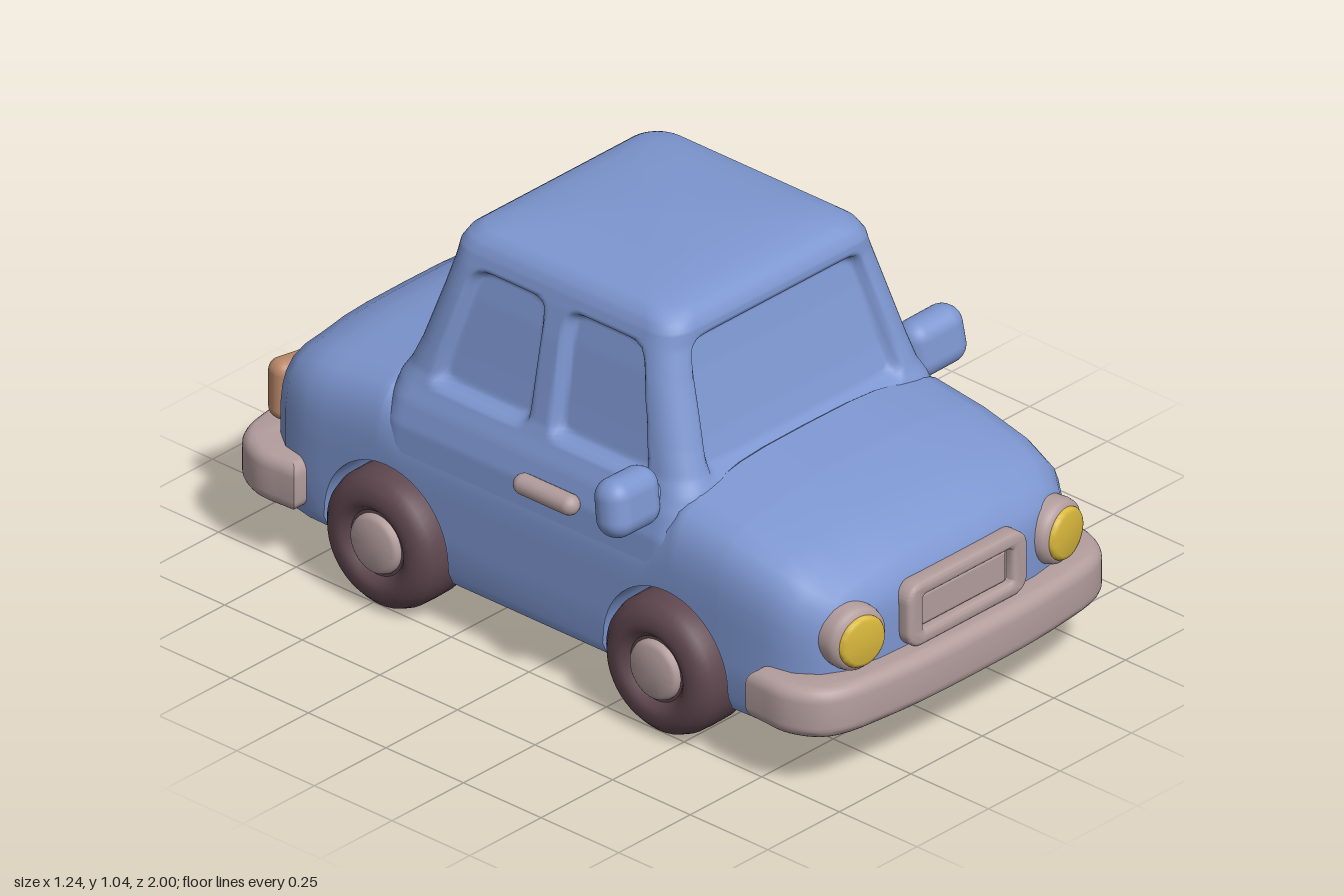
import * as THREE from 'three';
import { toCreasedNormals } from 'three/addons/utils/BufferGeometryUtils.js';
import { RoundedBoxGeometry } from 'three/addons/geometries/RoundedBoxGeometry.js';

const material = (name, color) => {
  const m = new THREE.MeshStandardMaterial({ color });
  m.name = name;
  return m;
};

// Skin a list of closed rings of [x, y, z] points.
function loft(rings) {
  const n = rings[0].length, index = [];
  for (let k = 0; k < rings.length - 1; k++) {
    for (let i = 0; i < n; i++) {
      const j = (i + 1) % n, a = k * n + i, b = k * n + j;
      index.push(a, b, b + n, a, b + n, a + n);
    }
  }
  const g = new THREE.BufferGeometry();
  g.setAttribute('position', new THREE.Float32BufferAttribute(rings.flat(2), 3));
  g.setIndex(index);
  g.computeVertexNormals();
  return g;
}

// Linear interpolation in a table whose first column is ascending.
function sample(table, t) {
  let i = 0;
  while (i < table.length - 2 && t > table[i + 1][0]) i++;
  const a = table[i], b = table[i + 1];
  const f = THREE.MathUtils.clamp((t - a[0]) / (b[0] - a[0]), 0, 1);
  return a.map((v, c) => v + (b[c] - v) * f);
}

const WHEELS = [0.43, -0.47], WHEEL_R = 0.18, ARCH_R = 0.2;

// Lower body: cross-sections along z, lifted over the wheels.
function bodyGeometry() {
  const stations = [ // z, half width, top, bottom
    [-0.925, 0, 0.32, 0.32], [-0.922, 0.12, 0.4, 0.24], [-0.915, 0.27, 0.45, 0.18], [-0.895, 0.38, 0.49, 0.14],
    [-0.865, 0.43, 0.525, 0.125], [-0.81, 0.472, 0.56, 0.12], [-0.73, 0.488, 0.588, 0.118], [-0.5, 0.49, 0.622, 0.115],
    [-0.42, 0.49, 0.58, 0.115], [0.36, 0.49, 0.58, 0.115], [0.44, 0.49, 0.638, 0.115], [0.6, 0.49, 0.615, 0.115],
    [0.74, 0.485, 0.582, 0.118], [0.82, 0.468, 0.552, 0.12], [0.875, 0.425, 0.515, 0.125], [0.905, 0.375, 0.48, 0.14],
    [0.922, 0.27, 0.445, 0.18], [0.929, 0.12, 0.4, 0.24], [0.932, 0, 0.32, 0.32]];
  const half = [[0.68, 0], [0.685, 0], [0.9, 0], [0.97, 0.03], [1, 0.1], [1, 0.3], [1, 0.5], [1, 0.63],
    [0.985, 0.74], [0.955, 0.82], [0.9, 0.89], [0.8, 0.935], [0.65, 0.955], [0.48, 0.985], [0.3, 0.997]];
  const section = [[0, 0], ...half, [0, 1], ...half.map(([u, v]) => [-u, v]).reverse()];
  const zs = stations.map(s => s[0]);
  for (const c of WHEELS) {
    zs.push(c - ARCH_R - 0.002, c + ARCH_R + 0.002);
    for (let i = 0; i <= 24; i++) zs.push(c - ARCH_R * Math.cos(i / 24 * Math.PI));
  }
  zs.sort((a, b) => a - b);
  return toCreasedNormals(loft(zs.map(z => {
    const [, w, top, bottom] = sample(stations, z);
    let arch = 0;
    for (const c of WHEELS) {
      const d = Math.abs(z - c);
      if (d <= ARCH_R + 1e-6) arch = WHEEL_R + Math.sqrt(Math.max(0, ARCH_R ** 2 - d * d));
    }
    return section.map(([u, v]) => {
      const y = bottom + (top - bottom) * v;
      return [u * w, Math.abs(u) > 0.682 ? Math.max(y, arch) : y, z];
    });
  })), 0.7);
}

// Smooth signed distance to a convex outline given anticlockwise.
function outlineDistance(outline, x, y) {
  let sum = 0;
  outline.forEach(([ax, ay], i) => {
    const [bx, by] = outline[(i + 1) % outline.length];
    const ex = bx - ax, ey = by - ay;
    sum += Math.exp(((x - ax) * ey - (y - ay) * ex) / Math.hypot(ex, ey) / 0.016);
  });
  return 0.016 * Math.log(sum);
}

// Cabin: rounded rectangles stacked in y, with the windows pressed in.
function cabinGeometry() {
  const levels = [ // y, half width, front z, back z
    [0.43, 0.487, 0.47, -0.52], [0.5, 0.482, 0.465, -0.515], [0.56, 0.464, 0.46, -0.51], [0.6, 0.445, 0.455, -0.505],
    [0.635, 0.431, 0.435, -0.485], [0.7, 0.419, 0.41, -0.458], [0.85, 0.392, 0.36, -0.412], [0.93, 0.374, 0.338, -0.392],
    [0.97, 0.362, 0.335, -0.388], [0.995, 0.348, 0.32, -0.374], [1.015, 0.322, 0.292, -0.348], [1.028, 0.27, 0.24, -0.296],
    [1.037, 0.17, 0.15, -0.2], [1.041, 0.06, 0.04, -0.09], [1.042, 0, -0.03, -0.03]];
  const screen = [[-0.34, 0.622], [0.34, 0.622], [0.295, 0.94], [-0.295, 0.94]];
  const sides = [
    [[0.005, 0.612], [0.322, 0.612], [0.25, 0.932], [0.005, 0.932]],
    [[-0.38, 0.612], [-0.065, 0.612], [-0.065, 0.932], [-0.295, 0.932]]];
  const press = (windows, a, y) => {
    const d = Math.min(...windows.map(o => outlineDistance(o, a, y)));
    return 0.03 * (1 - THREE.MathUtils.smoothstep(d, -0.014, 0.006));
  };
  const ys = [];
  for (let i = 0; i <= 64; i++) ys.push(0.43 + i * 0.54 / 64);
  ys.push(0.983, 0.995, 1.006, 1.015, 1.022, 1.028, 1.033, 1.037, 1.041, 1.042);
  return loft(ys.map(y => {
    const [, w, front, back] = sample(levels, y), r = Math.min(0.075, w * 0.8);
    const corner = (k, a) => [
      (k % 4 === 0 || k % 4 === 3 ? r - w : w - r) - r * Math.cos(a),
      (k % 4 < 2 ? front - r : back + r) + r * Math.sin(a)];
    const ring = [];
    for (let k = 0; k < 4; k++) {
      for (let i = 0; i < 8; i++) {
        const [x, z] = corner(k, (k + i / 8) * Math.PI / 2);
        ring.push([x, y, z]);
      }
      const end = (k + 1) * Math.PI / 2, p = corner(k, end), q = corner(k + 1, end);
      for (let i = 0; i < 76; i++) {
        let x = p[0] + (q[0] - p[0]) * i / 76, z = p[1] + (q[1] - p[1]) * i / 76;
        if (k % 2) x -= Math.sign(x) * press(sides, z, y);
        else z -= (k ? -1 : 1) * press([screen], x, y);
        ring.push([x, y, z]);
      }
    }
    return ring;
  }));
}

const lathe = (points, segments = 40) =>
  toCreasedNormals(new THREE.LatheGeometry(points.map(p => new THREE.Vector2(...p)), segments), 0.8);

// Round button with a softened rim, facing +y.
const button = (r, h) => lathe([[0, 0], [r, 0], [r, h * 0.55], [r * 0.95, h * 0.82], [r * 0.82, h * 0.97], [0, h]]);

function roundRect(path, w, h, r) {
  for (let k = 0; k < 4; k++) {
    const sx = k === 0 || k === 3 ? 1 : -1, sy = k < 2 ? 1 : -1;
    path.absarc(sx * (w - r), sy * (h - r), r, k * Math.PI / 2, (k + 1) * Math.PI / 2, false);
  }
  path.closePath();
  return path;
}

// Bumper: a U-shaped band in plan, rounded above and below.
function bumperGeometry() {
  const mirrored = half => [...half, ...half.slice(0, -1).reverse().map(([x, z]) => [-x, z])];
  const curve = pts => new THREE.CatmullRomCurve3(pts.map(p => new THREE.Vector3(p[0], p[1], 0)))
    .getPoints(48).map(p => new THREE.Vector2(p.x, p.y));
  const outer = curve(mirrored([[0.5, 0.76], [0.5, 0.85], [0.455, 0.92], [0.28, 0.955], [0, 0.965]]));
  const inner = curve(mirrored([[0.465, 0.76], [0.46, 0.83], [0.42, 0.88], [0.26, 0.905], [0, 0.915]]));
  const g = new THREE.ExtrudeGeometry(new THREE.Shape([...outer, ...inner.reverse()]),
    { depth: 0.065, bevelSize: 0.033, bevelThickness: 0.035, bevelSegments: 6 });
  g.rotateX(Math.PI / 2).translate(0, 0.26, 0);
  return toCreasedNormals(g, 0.7);
}

export function createModel() {
  const car = new THREE.Group();
  car.name = 'car';
  const blue = material('bodyBlue', 0x7d96d0), rubber = material('tyreMaroon', 0x5f474f);
  const trim = material('trimPinkGrey', 0xb39d9d), amber = material('lampTan', 0xb98768);
  const yellow = material('lampYellow', 0xd8b73c);
  const add = (name, geometry, mat, x = 0, y = 0, z = 0, parent = car) => {
    const m = new THREE.Mesh(geometry, mat);
    m.name = name;
    m.position.set(x, y, z);
    parent.add(m);
    return m;
  };

  add('lowerBody', bodyGeometry(), blue);
  add('cabin', cabinGeometry(), blue);

  // Bumpers
  const bumper = bumperGeometry();
  add('frontBumper', bumper, trim);
  add('rearBumper', bumper, trim).rotation.y = Math.PI;

  // Grille
  const frame = roundRect(new THREE.Shape(), 0.198, 0.074, 0.035);
  frame.holes.push(roundRect(new THREE.Path(), 0.167, 0.058, 0.02));
  add('grilleFrame', toCreasedNormals(new THREE.ExtrudeGeometry(frame,
    { depth: 0.03, bevelSize: 0.011, bevelThickness: 0.012, bevelSegments: 3, curveSegments: 8 }), 0.7), trim, 0, 0.38, 0.915);
  add('grillePanel', new RoundedBoxGeometry(0.3, 0.09, 0.04, 3, 0.012), trim, 0, 0.38, 0.922);
  add('grilleBacking', new THREE.BoxGeometry(0.36, 0.14, 0.02), trim, 0, 0.38, 0.922);

  // Wheels
  const tyre = lathe([[0, -0.1], [0.12, -0.1], [0.15, -0.092], [0.17, -0.072], [0.179, -0.045], [0.18, 0],
    [0.179, 0.045], [0.17, 0.072], [0.15, 0.092], [0.12, 0.1], [0.1, 0.097], [0.085, 0.08], [0, 0.08]], 48);
  const hub = button(0.078, 0.035), ring = button(0.084, 0.06), lens = button(0.067, 0.02);
  const tail = new RoundedBoxGeometry(0.145, 0.16, 0.07, 5, 0.032);
  const shell = new RoundedBoxGeometry(0.18, 0.15, 0.1, 6, 0.048);
  const arm = new THREE.CapsuleGeometry(0.04, 0.08, 6, 16).rotateZ(Math.PI / 2);
  const handle = new THREE.CapsuleGeometry(0.027, 0.145, 6, 16).rotateX(Math.PI / 2);

  for (const s of [1, -1]) {
    const side = s > 0 ? 'left' : 'right';
    WHEELS.forEach((z, i) => {
      const wheel = new THREE.Group();
      wheel.name = side + (i ? 'RearWheel' : 'FrontWheel');
      wheel.position.set(s * 0.44, WHEEL_R, z);
      wheel.rotation.z = -s * Math.PI / 2;
      add('tyre', tyre, rubber, 0, 0, 0, wheel);
      add('hubcap', hub, trim, 0, 0.065, 0, wheel);
      car.add(wheel);
    });

    // Headlights and tail lights
    const lamp = new THREE.Group();
    lamp.name = side + 'Headlight';
    lamp.position.set(s * 0.347, 0.381, 0.88);
    lamp.rotation.set(Math.PI / 2, 0, -s * 0.15);
    add('lampRing', ring, trim, 0, 0, 0, lamp);
    add('lampLens', lens, yellow, 0, 0.052, 0, lamp);
    car.add(lamp);
    add(side + 'TailLight', tail, amber, s * 0.345, 0.382, -0.892).rotation.y = s * 0.22;

    // Mirrors and door handles
    const mirror = add(side + 'Mirror', shell, blue, s * 0.531, 0.607, 0.345);
    mirror.rotation.set(-0.15, s * -0.08, s * 0.06);
    add(side + 'MirrorArm', arm, blue, s * 0.45, 0.59, 0.335);
    add(side + 'DoorHandle', handle, s > 0 ? amber : trim, s * 0.498, 0.503, 0.055);
  }
  return car;
}
